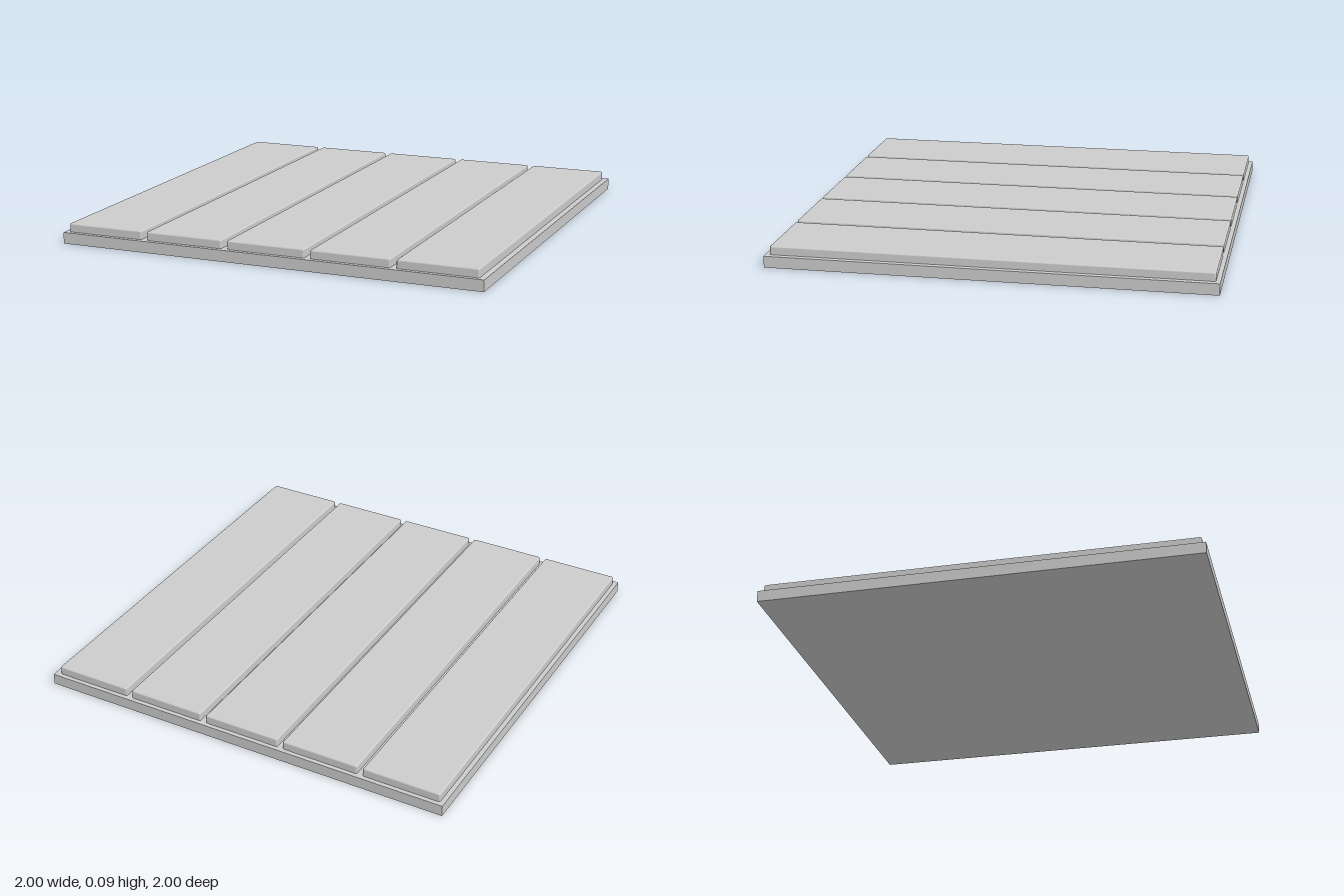
import * as THREE from 'three';
import { RoundedBoxGeometry } from 'three/addons/geometries/RoundedBoxGeometry.js';

export function createModel() {
  const group = new THREE.Group();
  group.name = 'plankFloorTile';
  const material = new THREE.MeshStandardMaterial({ color: 0xcccccc });

  // Square slab under the planks
  const baseHeight = 0.052;
  const base = new THREE.Mesh(new THREE.BoxGeometry(2, baseHeight, 2), material);
  base.name = 'baseSlab';
  base.position.y = baseHeight / 2;
  group.add(base);

  // Five planks with softened edges, seated slightly into the slab
  const count = 5, pitch = 0.396, width = 0.368, length = 1.96;
  const top = 0.092, bottom = 0.042, firstX = -0.795;
  const plankGeometry = new RoundedBoxGeometry(width, top - bottom, length, 2, 0.008);
  for (let i = 0; i < count; i++) {
    const plank = new THREE.Mesh(plankGeometry, material);
    plank.name = `plank${i + 1}`;
    plank.position.set(firstX + i * pitch, (top + bottom) / 2, 0);
    group.add(plank);
  }
  return group;
}
